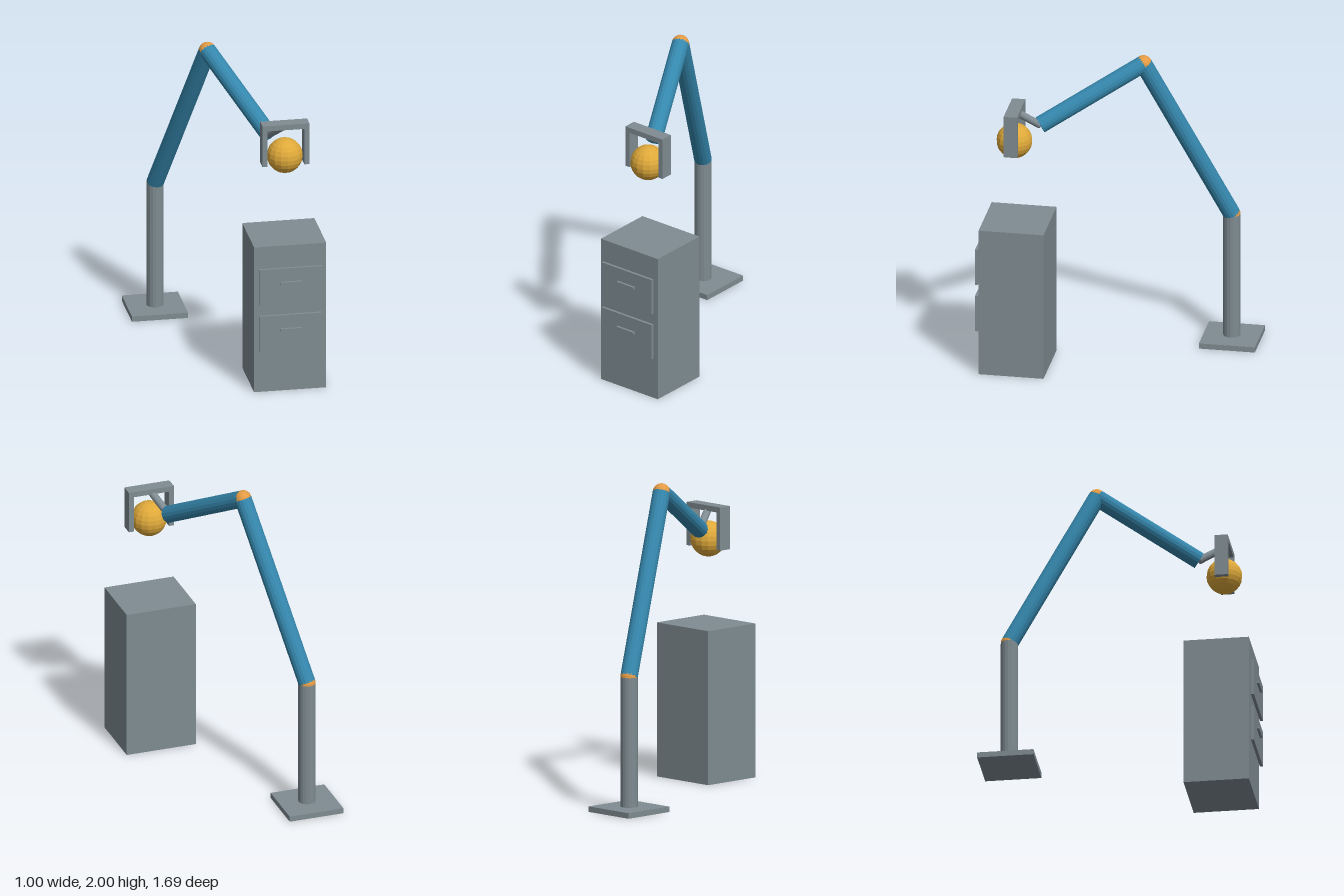
import * as THREE from 'three';

const material = (name, color, flat = false) => {
  const m = new THREE.MeshStandardMaterial({ color, flatShading: flat });
  m.name = name;
  return m;
};

export function createModel() {
  const model = new THREE.Group();
  model.name = 'robotArmAndCabinet';
  const grey = material('steelGrey', 0x7f8c92, true);
  const blue = material('armBlue', 0x3587ad, true);
  const orange = material('jointOrange', 0xe39b45, true);
  const gold = material('ballGold', 0xdfa93a, true);

  const add = (parent, name, geometry, mat, x = 0, y = 0, z = 0) => {
    const mesh = new THREE.Mesh(geometry, mat);
    mesh.name = name;
    mesh.position.set(x, y, z);
    parent.add(mesh);
    return mesh;
  };
  // Box given by its lower and upper corners
  const box = (parent, name, [x0, y0, z0], [x1, y1, z1], mat) =>
    add(parent, name, new THREE.BoxGeometry(x1 - x0, y1 - y0, z1 - z0), mat,
      (x0 + x1) / 2, (y0 + y1) / 2, (z0 + z1) / 2);
  // Round rod between two points
  const rod = (parent, name, a, b, radius, mat) => {
    const d = b.clone().sub(a);
    const mesh = add(parent, name, new THREE.CylinderGeometry(radius, radius, d.length(), 16), mat);
    mesh.position.copy(a).add(b).multiplyScalar(0.5);
    mesh.quaternion.setFromUnitVectors(new THREE.Vector3(0, 1, 0), d.normalize());
    return mesh;
  };
  const group = (name) => {
    const g = new THREE.Group();
    g.name = name;
    model.add(g);
    return g;
  };

  // Arm: base, column, two segments and their joints
  const arm = group('arm');
  const foot = new THREE.Vector3(-0.325, 0.035, -0.665);
  const shoulder = new THREE.Vector3(-0.325, 0.86, -0.665);
  const elbow = new THREE.Vector3(-0.085, 1.945, -0.145);
  const wrist = new THREE.Vector3(0.195, 1.6, 0.463);
  const mount = new THREE.Vector3(0.265, 1.71, 0.61);
  const R = 0.055;
  box(arm, 'basePlate', [-0.504, 0, -0.844], [-0.146, 0.035, -0.487], grey);
  rod(arm, 'column', foot, shoulder, R, grey);
  rod(arm, 'lowerArm', shoulder, elbow, R, blue);
  rod(arm, 'upperArm', elbow, wrist, R, blue);
  rod(arm, 'wristRod', wrist, mount, 0.024, grey);
  for (const [name, p] of [['shoulderJoint', shoulder], ['elbowJoint', elbow]]) {
    add(arm, name, new THREE.SphereGeometry(R, 16, 12), orange, p.x, p.y, p.z);
  }

  // Gripper bracket with the held ball
  const gripper = group('gripper');
  box(gripper, 'gripperBar', [0.12, 1.7, 0.57], [0.42, 1.735, 0.655], grey);
  for (const x of [0.12, 0.387]) {
    box(gripper, 'gripperFinger', [x, 1.46, 0.57], [x + 0.033, 1.7, 0.655], grey);
  }
  add(gripper, 'ball', new THREE.SphereGeometry(0.113, 16, 12), gold, 0.27, 1.515, 0.613);

  // Cabinet with two drawer fronts and handles
  const cabinet = group('cabinet');
  box(cabinet, 'cabinetBody', [0.04, 0, 0.386], [0.5, 0.98, 0.8], grey);
  for (const y of [0.28, 0.595]) {
    box(cabinet, 'drawerFront', [0.068, y, 0.81], [0.472, y + 0.24, 0.828], grey);
    box(cabinet, 'drawerHandle', [0.2, y + 0.135, 0.828], [0.34, y + 0.152, 0.844], grey);
  }
  return model;
}
